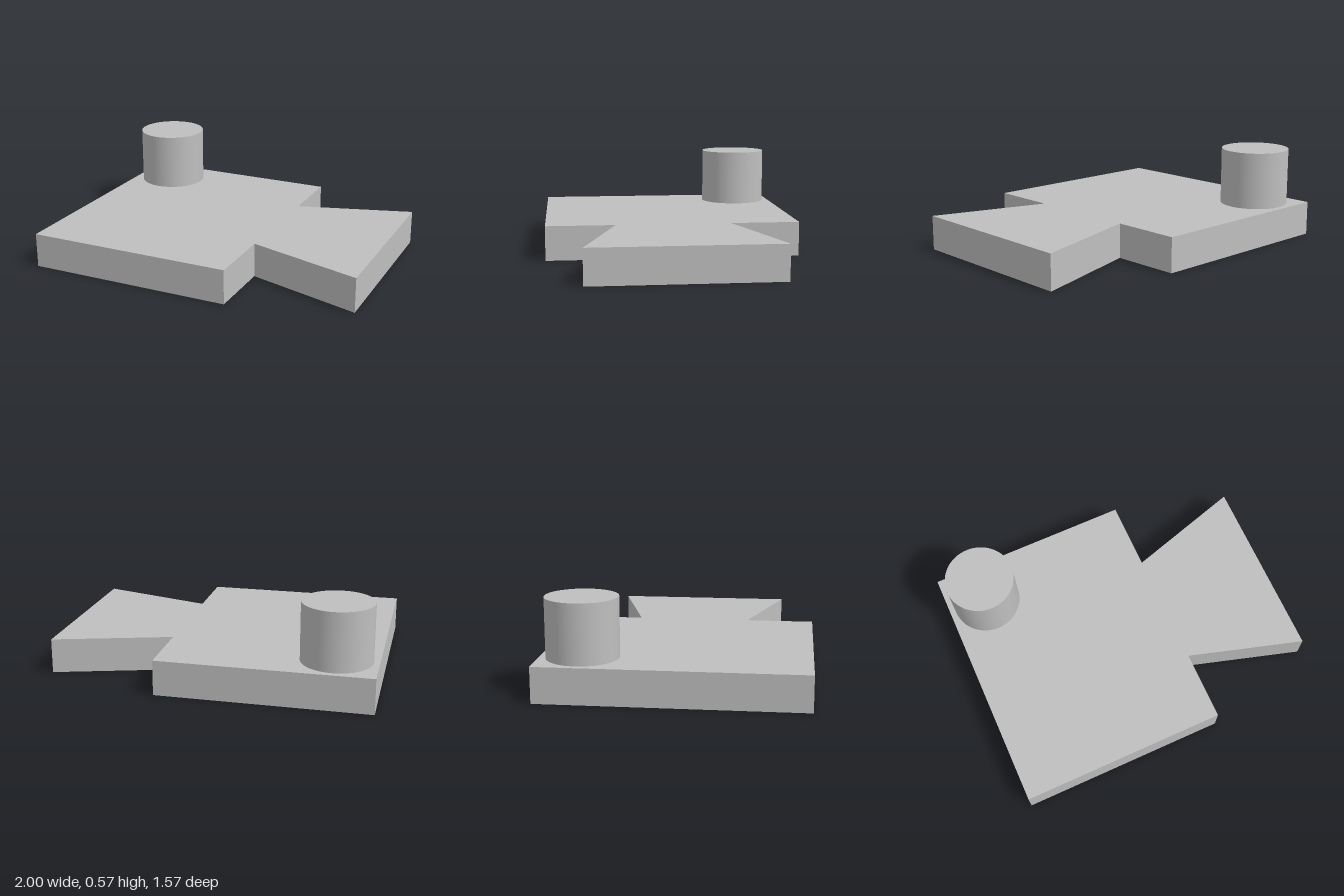
import * as THREE from 'three';

export function createModel() {
  const model = new THREE.Group();
  const grey = new THREE.MeshStandardMaterial({ color: 0xbfbfbf });
  grey.name = 'plain grey';

  const thickness = 0.214;

  // Flat plate with a flared dovetail tongue on the +x side
  const half = [[-1, 0.786], [0.286, 0.786], [0.286, 0.357], [1, 0.571]];
  const mirrored = half.map(([x, z]) => [x, -z]).reverse();
  const outline = [...half, ...mirrored].map(([x, z]) => new THREE.Vector2(x, z));
  const plateGeometry = new THREE.ExtrudeGeometry(new THREE.Shape(outline), {
    depth: thickness, bevelEnabled: false,
  });
  plateGeometry.rotateX(-Math.PI / 2);
  const plate = new THREE.Mesh(plateGeometry, grey);
  plate.name = 'dovetailPlate';
  model.add(plate);

  // Round peg standing on the back right corner
  const pegHeight = 0.357;
  const peg = new THREE.Mesh(new THREE.CylinderGeometry(0.214, 0.214, pegHeight, 64), grey);
  peg.name = 'peg';
  peg.position.set(-0.75, thickness + pegHeight / 2, -0.536);
  model.add(peg);

  return model;
}
